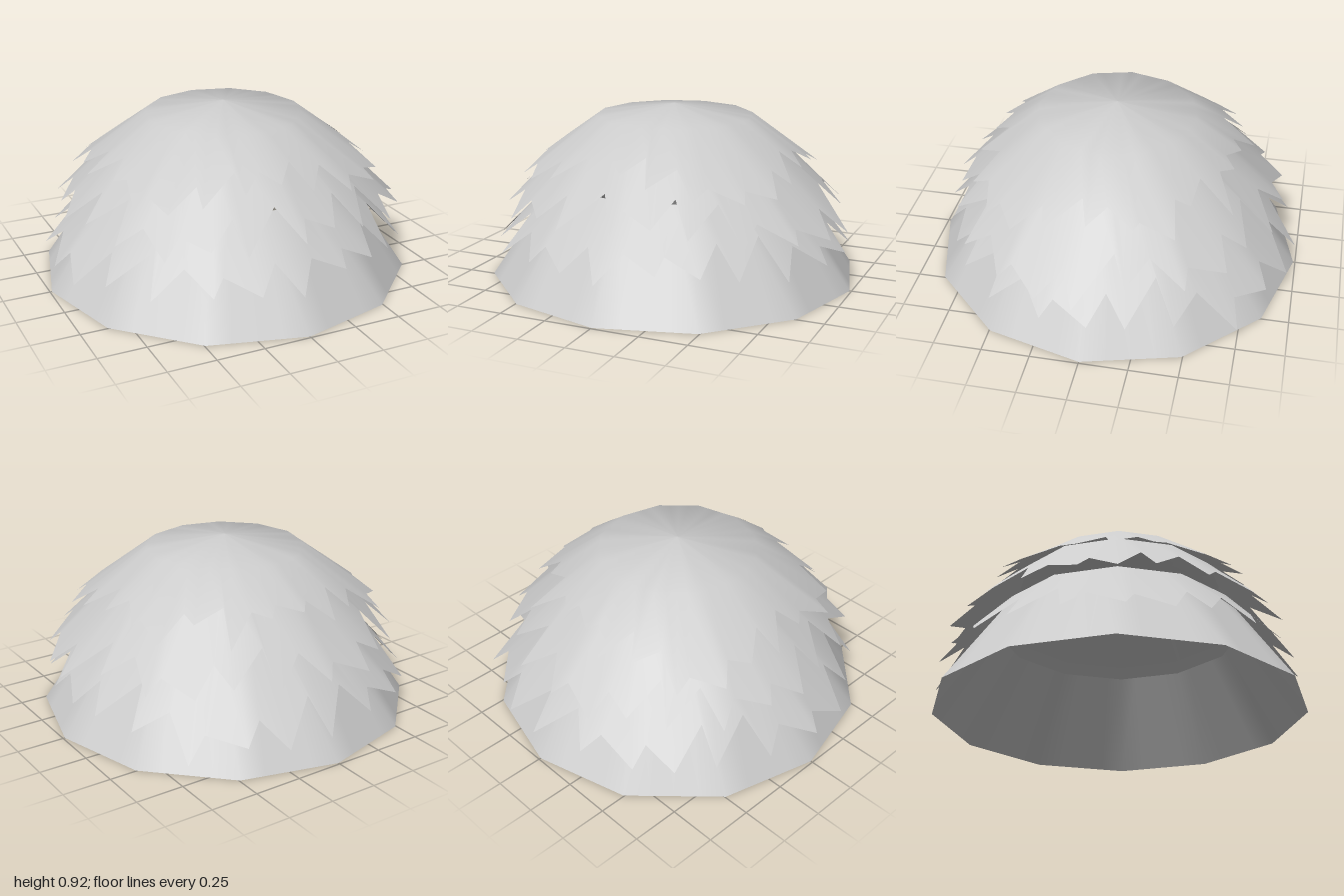
import * as THREE from 'three';

const SEGMENTS = 48;
const SIDES = 12;
const material = new THREE.MeshStandardMaterial({ color: 0xcccccc, side: THREE.DoubleSide });

// Radius multiplier that turns a circle into a 12-sided outline
function polygonFactor(angle) {
  const step = (2 * Math.PI) / SIDES;
  return Math.cos(step / 2) / Math.cos((angle % step) - step / 2);
}

// Joins closed rings of points, listed from top to bottom, into one smooth skin
function loft(name, rings) {
  const positions = rings.flat(2);
  const index = [];
  for (let r = 0; r < rings.length - 1; r++) {
    for (let i = 0; i < SEGMENTS; i++) {
      const j = (i + 1) % SEGMENTS;
      const a = r * SEGMENTS + i, b = r * SEGMENTS + j;
      const c = a + SEGMENTS, d = b + SEGMENTS;
      if (rings[r][0][0] !== rings[r][1][0] || rings[r][0][2] !== rings[r][1][2]) index.push(a, d, b);
      index.push(a, c, d);
    }
  }
  const geometry = new THREE.BufferGeometry();
  geometry.setAttribute('position', new THREE.Float32BufferAttribute(positions, 3));
  geometry.setIndex(index);
  geometry.computeVertexNormals();
  const mesh = new THREE.Mesh(geometry, material);
  mesh.name = name;
  return mesh;
}

// Plain 12-sided ring
function plainRing(radius, y) {
  return Array.from({ length: SEGMENTS }, (_, i) => {
    const a = (i / SEGMENTS) * 2 * Math.PI;
    const r = radius * polygonFactor(a);
    return [r * Math.sin(a), y, r * Math.cos(a)];
  });
}

// Ragged hem: long tips alternate with notches, all lying on the layer's slope
function raggedRing(tips, depth, startRadius, startY, slope, seed) {
  return Array.from({ length: SEGMENTS }, (_, i) => {
    const k = i >> 1;
    const wobble = Math.sin(i * 2.4 + seed * 1.7);
    const a = ((i + 0.35 * wobble) / SEGMENTS) * 2 * Math.PI;
    let r = tips[k];
    if (i % 2) r = (tips[k] + tips[(k + 1) % tips.length]) / 2 - depth * (1 + 0.4 * wobble);
    return [r * Math.sin(a), startY - slope * (r - startRadius), r * Math.cos(a)];
  });
}

// Thatch layers; tip radii run every 15 degrees from the front towards +x
const layers = [
  {
    name: 'topThatch', rings: [[0, 0.92], [0.42, 0.86]], slope: 0.75, depth: 0.1,
    tips: [0.67, 0.73, 0.79, 0.82, 0.82, 0.77, 0.72, 0.73, 0.79, 0.68, 0.79, 0.66,
      0.66, 0.74, 0.72, 0.83, 0.82, 0.75, 0.76, 0.72, 0.81, 0.8, 0.76, 0.7],
  },
  {
    name: 'middleThatch', rings: [[0.55, 0.74]], slope: 0.97, depth: 0.12,
    tips: [0.87, 0.84, 0.88, 0.93, 0.95, 0.97, 0.98, 0.9, 0.93, 0.92, 0.88, 0.91,
      0.9, 0.92, 0.88, 0.9, 0.92, 0.88, 0.9, 0.87, 0.9, 0.92, 0.87, 0.89],
  },
  {
    name: 'lowerThatch', rings: [[0.64, 0.53]], slope: 1.08, depth: 0.12,
    tips: [0.95, 0.9, 0.91, 0.93, 0.96, 0.95, 0.95, 0.95, 0.96, 1.04, 0.98, 1.0,
      0.99, 0.96, 0.97, 0.97, 0.96, 0.97, 0.98, 0.99, 0.95, 0.96, 0.93, 0.93],
  },
];

export function createModel() {
  const group = new THREE.Group();
  group.name = 'thatchedRoof';

  // Open flared skirt at the bottom
  group.add(loft('baseSkirt', [plainRing(0.67, 0.47), plainRing(0.99, 0)]));

  // Overlapping ragged layers
  layers.forEach(({ name, rings, slope, depth, tips }, seed) => {
    const [radius, y] = rings[rings.length - 1];
    const hem = raggedRing(tips, depth, radius, y, slope, seed);
    group.add(loft(name, [...rings.map(([r, h]) => plainRing(r, h)), hem]));
  });
  return group;
}
